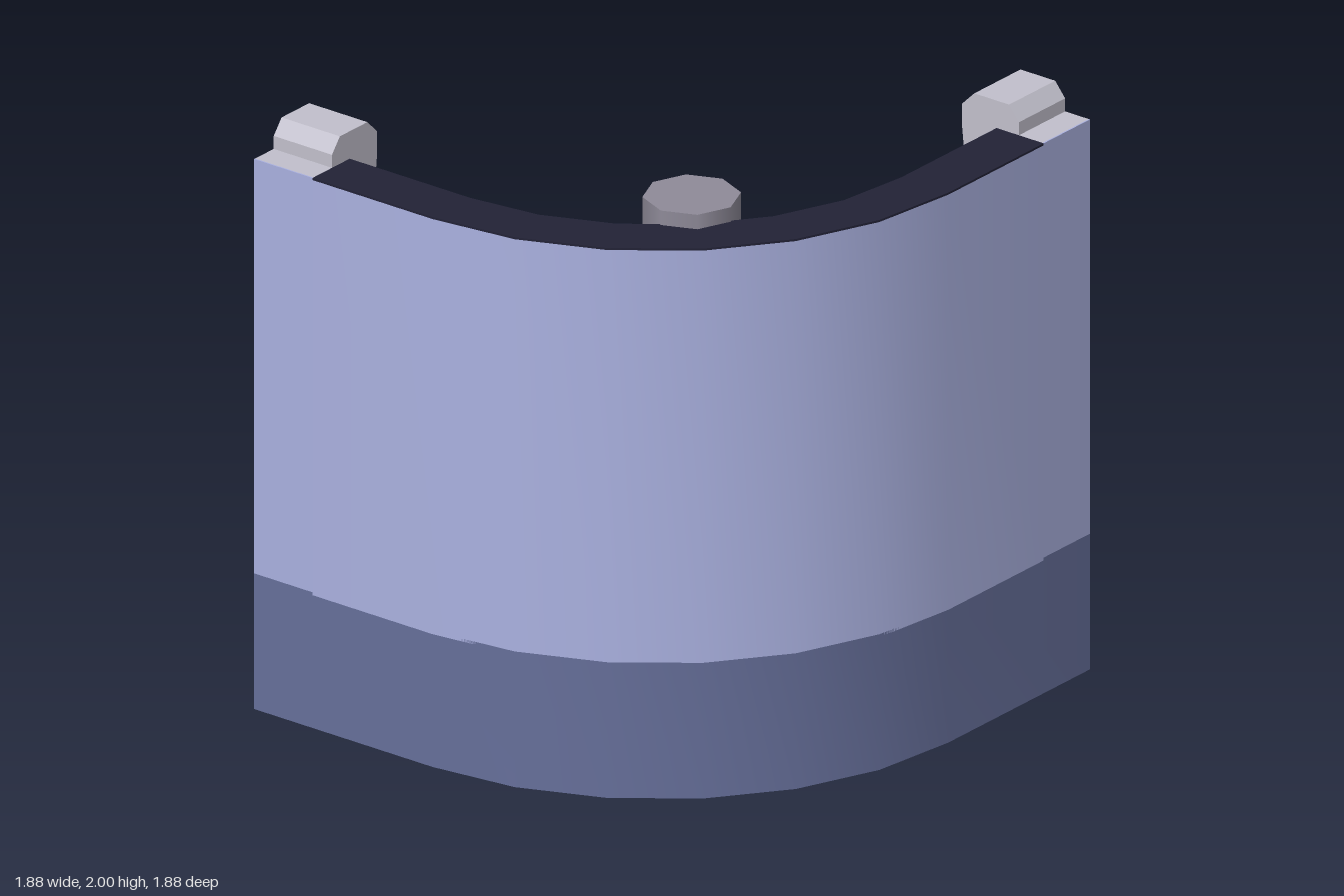
import * as THREE from 'three';
import { toCreasedNormals } from 'three/addons/utils/BufferGeometryUtils.js';

const C = -0.22; // centre of the corner arc, in x and z
const E = 0.94;  // half width
const P = 0.705; // inner end of the posts

// Plan of the rounded corner at distance r: straight, 90 degree arc, straight
function plan(r, end) {
  const pts = [[r, -end]];
  for (let i = 0; i <= 6; i++) {
    const a = (i * Math.PI) / 12;
    pts.push([C + (r - C) * Math.cos(a), C + (r - C) * Math.sin(a)]);
  }
  pts.push([-end, r]);
  return pts;
}

// Sweep a closed counter-clockwise profile of [r, y] around the corner
function sweep(profile, end) {
  const n = profile.length, pos = [], idx = [];
  const paths = profile.map(([r]) => plan(r, end));
  const rings = paths[0].length;
  for (let k = 0; k < rings; k++) {
    for (let j = 0; j < n; j++) pos.push(paths[j][k][0], profile[j][1], paths[j][k][1]);
  }
  for (let k = 0; k < rings - 1; k++) {
    for (let j = 0; j < n; j++) {
      const a = k * n + j, b = k * n + ((j + 1) % n);
      idx.push(a, b, b + n, a, b + n, a + n);
    }
  }
  const last = (rings - 1) * n;
  const contour = profile.map(([r, y]) => new THREE.Vector2(r, y));
  for (const [a, b, c] of THREE.ShapeUtils.triangulateShape(contour, [])) {
    idx.push(a, c, b, last + a, last + b, last + c);
  }
  const g = new THREE.BufferGeometry();
  g.setAttribute('position', new THREE.Float32BufferAttribute(pos, 3));
  g.setIndex(idx);
  return toCreasedNormals(g, 0.35);
}

function polygon(points) {
  return new THREE.Shape(points.map(([x, y]) => new THREE.Vector2(x, y)));
}

// Extrude an x/y outline from z0 to z1
function prism(points, z0, z1) {
  const g = new THREE.ExtrudeGeometry(polygon(points), { depth: z1 - z0, bevelEnabled: false });
  return g.translate(0, 0, z0);
}

// Extrude an x/z outline from y0 to y1
function slab(points, y0, y1) {
  const g = new THREE.ExtrudeGeometry(polygon(points), { depth: y1 - y0, bevelEnabled: false });
  return g.rotateX(Math.PI / 2).translate(0, y1, 0);
}

// Mirror across the diagonal by exchanging x and z, keeping faces outward
function mirrored(geometry) {
  const src = geometry.index ? geometry.toNonIndexed() : geometry;
  const p = src.attributes.position, out = [];
  for (let i = 0; i < p.count; i += 3) {
    for (const k of [i, i + 2, i + 1]) out.push(p.getZ(k), p.getY(k), p.getX(k));
  }
  const g = new THREE.BufferGeometry();
  g.setAttribute('position', new THREE.Float32BufferAttribute(out, 3));
  g.computeVertexNormals();
  return g;
}

export function createModel() {
  const mat = (name, color) => {
    const m = new THREE.MeshStandardMaterial({ color });
    m.name = name;
    return m;
  };
  const wallBlue = mat('pale blue', 0xaab1e0);
  const baseBlue = mat('slate blue', 0x666f9a);
  const floorGrey = mat('floor grey', 0x555668);
  const darkNavy = mat('dark navy', 0x222236);
  const lightGrey = mat('light grey', 0xc2c0cc);
  const pipeGrey = mat('pipe grey', 0x8f8b99);
  const orange = mat('orange', 0xe09a3c);

  const model = new THREE.Group();
  model.name = 'cornerWall';
  const add = (name, geometry, material, parent = model) => {
    const mesh = new THREE.Mesh(geometry, material);
    mesh.name = name;
    parent.add(mesh);
    return mesh;
  };

  // Floor, plinth and curved wall
  add('floor', slab([[-E, -E], ...plan(0.47, E), [-E, 0.47]], 0, 0.008), floorGrey);
  add('plinth', sweep([[0.47, 0], [E, 0], [E, 0.47], [0.75, 0.47], [0.66, 0.43], [0.66, 0.09], [0.47, 0.09]], E), baseBlue);
  add('wall', sweep([[0.75, 0.46], [E, 0.46], [E, 1.898], [0.75, 1.898]], P), wallBlue);
  add('wallTop', sweep([[0.75, 1.898], [E, 1.898], [E, 1.905], [0.75, 1.905]], P), darkNavy);

  // Posts at both ends of the wall
  const face = E - 0.005;
  const postParts = [
    ['postFoot', prism([[0.62, 0.05], [E - 0.001, 0.05], [E - 0.001, 0.47], [0.71, 0.47], [0.62, 0.38]], -E, -P), baseBlue],
    ['postBlock', prism([[0.71, 0.47], [face, 0.47], [face, 0.89], [0.71, 0.89]], -E, -P), orange],
    ['postTop', prism([[0.71, 0.89], [face, 0.89], [face, 1.905], [0.84, 1.905], [0.84, 1.95], [0.8, 2],
      [0.66, 2], [0.61, 1.95], [0.61, 1.88]], -E, -P), lightGrey],
    ['postOuterFace', prism([[face, 0.47], [E, 0.47], [E, 1.905], [face, 1.905]], -E, -P), wallBlue],
    ['postClamp', slab([[0.64, -0.84], [0.75, -0.84], [0.75, -0.66], [0.69, -0.66], [0.655, -0.7]], 0.81, 1.08), orange],
  ];
  const rightPost = new THREE.Group(), frontPost = new THREE.Group();
  rightPost.name = 'sidePost';
  frontPost.name = 'frontPost';
  model.add(rightPost, frontPost);
  for (const [name, geometry, material] of postParts) {
    add(name, geometry, material, rightPost);
    add(name, mirrored(geometry), material, frontPost);
  }

  // Eight-sided pipe with collars in the corner
  const pipe = new THREE.Group();
  pipe.name = 'pipe';
  pipe.position.set(0.383, 0, 0.383);
  model.add(pipe);
  add('pipeShaft', new THREE.CylinderGeometry(0.157, 0.157, 1.945, 8), pipeGrey, pipe).position.y = 0.9825;
  const lathe = (pts) => new THREE.LatheGeometry(pts.map(([r, y]) => new THREE.Vector2(r, y)), 8);
  const collar = lathe([[0.15, -0.1], [0.2, -0.09], [0.235, -0.045], [0.235, 0.045], [0.2, 0.09], [0.15, 0.1]]);
  for (const y of [1.7, 0.66]) add('pipeCollar', collar, baseBlue, pipe).position.y = y;
  add('pipeFoot', lathe([[0.28, 0.002], [0.28, 0.11], [0.22, 0.17], [0.15, 0.18]]), baseBlue, pipe);

  return model;
}
